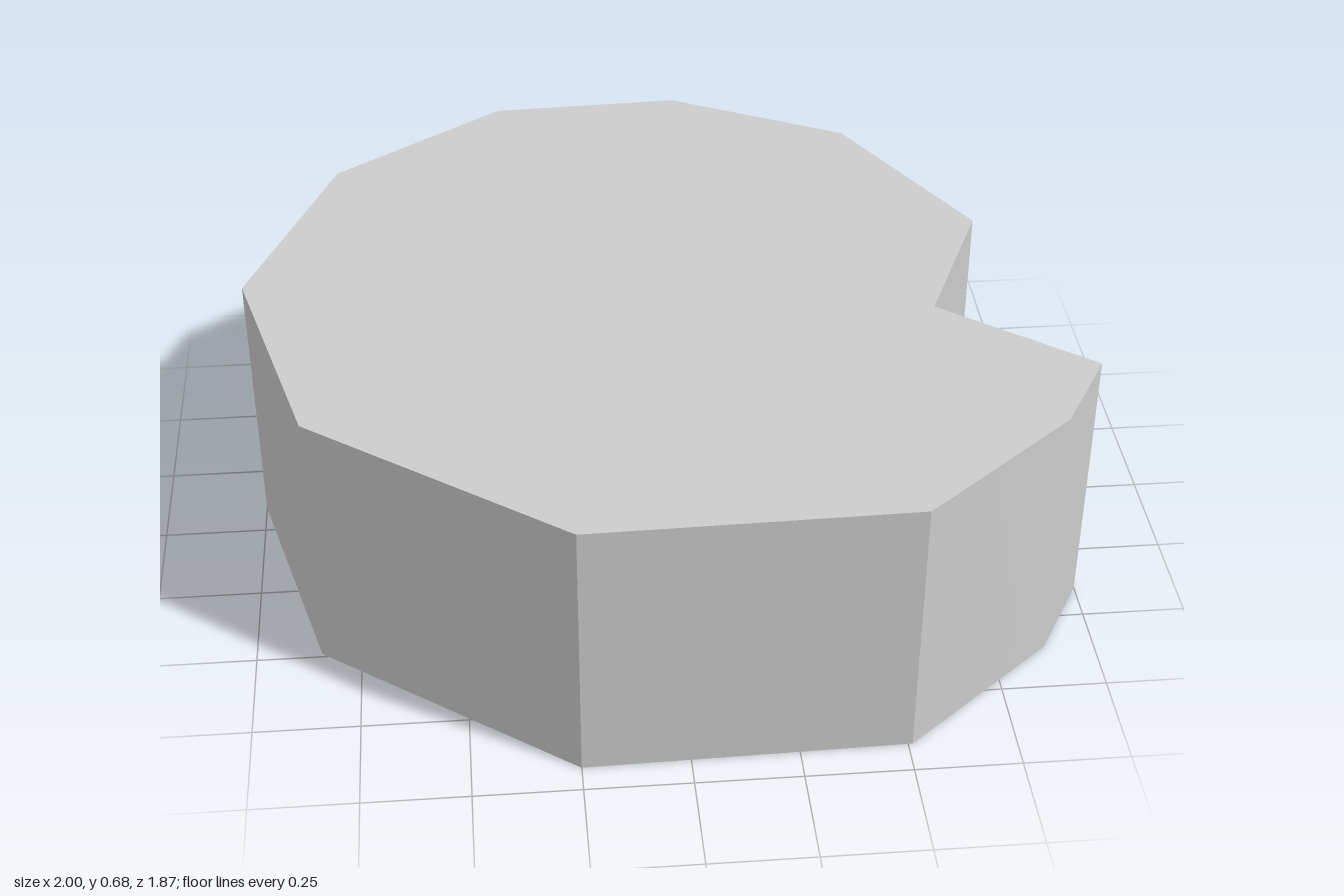
import * as THREE from 'three';
import { toCreasedNormals } from 'three/addons/utils/BufferGeometryUtils.js';

const HEIGHT = 0.675;

// Plan outline as [x, z] corners, with a notch cut into the left side
const OUTLINE = [
  [-1, -0.09], [-0.845, 0.49], [-0.25, 0.93], [0.51, 0.915],
  [0.88, 0.61], [1, 0.4], [0.655, 0.13], [0.82, -0.25],
  [0.555, -0.72], [0.12, -0.94], [-0.355, -0.92], [-0.78, -0.62],
];

export function createModel() {
  const group = new THREE.Group();
  group.name = 'notchedBlock';

  // Draw the plan flat, extrude it and stand it upright
  const shape = new THREE.Shape(OUTLINE.map(([x, z]) => new THREE.Vector2(x, -z)));
  const geometry = new THREE.ExtrudeGeometry(shape, { depth: HEIGHT, bevelEnabled: false });
  geometry.rotateX(-Math.PI / 2);

  // Shallow corners blend, steeper ones stay sharp
  const block = new THREE.Mesh(
    toCreasedNormals(geometry, THREE.MathUtils.degToRad(30)),
    new THREE.MeshStandardMaterial({ color: 0xcccccc })
  );
  block.name = 'block';
  group.add(block);
  return group;
}
